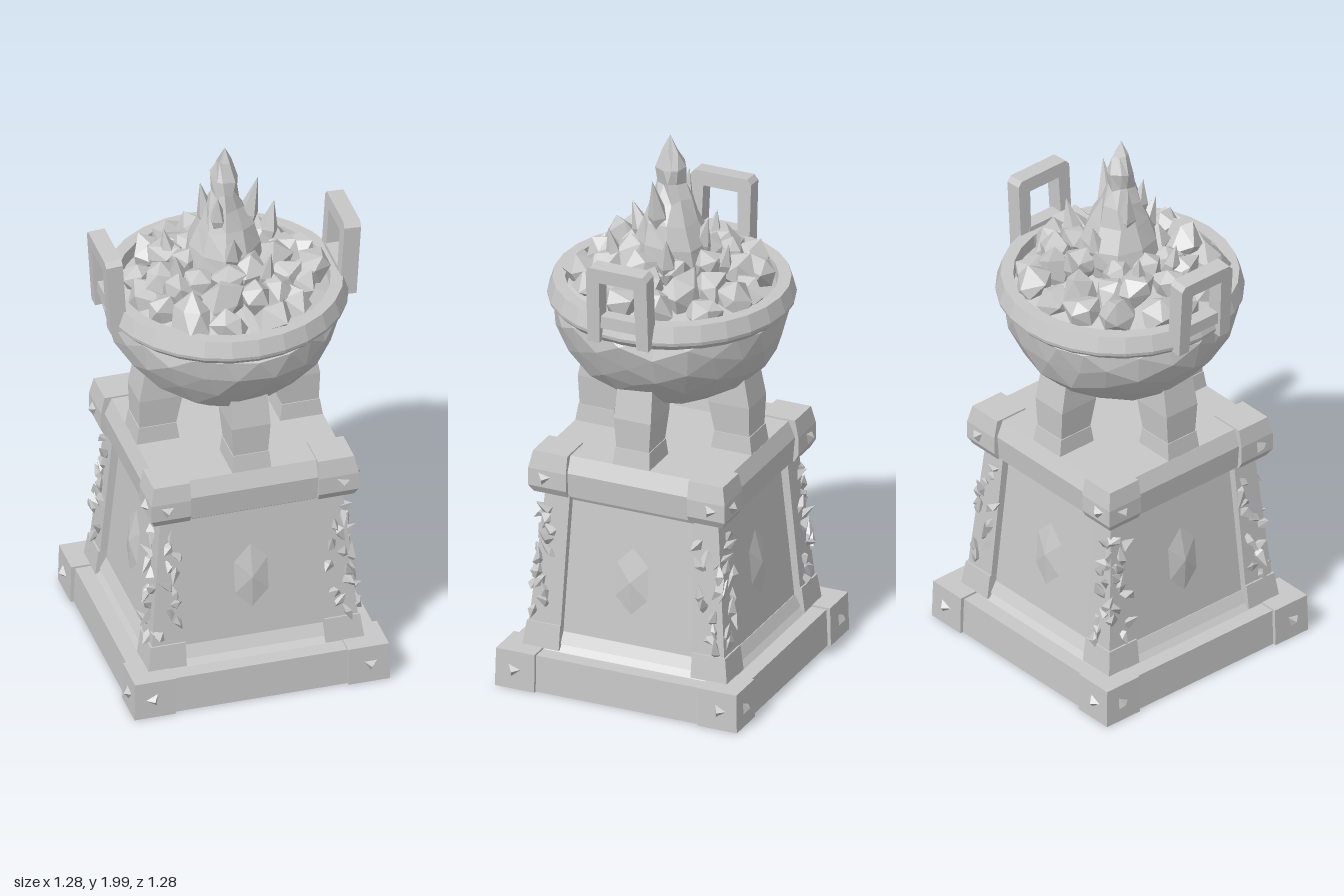
import * as THREE from 'three';
import { mergeVertices } from 'three/addons/utils/BufferGeometryUtils.js';

export function createModel() {
  const stone = new THREE.MeshStandardMaterial({ color: 0xc8c8c8, flatShading: true });
  stone.name = 'greyStone';

  let seed = 11;
  const rnd = () => (seed = (seed * 16807) % 2147483647) / 2147483647;
  const spread = (a) => (rnd() * 2 - 1) * a;

  const model = new THREE.Group();
  model.name = 'brazier';
  // Everything square is built axis-aligned, then turned as one
  const turned = new THREE.Group();
  turned.name = 'pedestalAndBowl';
  turned.rotation.y = -0.625;
  model.add(turned);

  const add = (parent, name, geo) => {
    const mesh = new THREE.Mesh(geo, stone);
    mesh.name = name;
    parent.add(mesh);
    return mesh;
  };

  // Box whose bottom and top rectangles are [x0, x1, z0, z1]
  function block(bottom, top, y0, y1) {
    const g = new THREE.BoxGeometry(1, 1, 1).toNonIndexed();
    const p = g.attributes.position;
    for (let i = 0; i < p.count; i++) {
      const up = p.getY(i) > 0, r = up ? top : bottom;
      p.setXYZ(i, r[p.getX(i) > 0 ? 1 : 0], up ? y1 : y0, r[p.getZ(i) > 0 ? 3 : 2]);
    }
    g.computeVertexNormals();
    return g;
  }
  const sq = (s) => [-s, s, -s, s];
  const slab = (s0, s1, y0, y1) => block(sq(s0), sq(s1), y0, y1);
  const corner = (in0, out0, in1, out1, y0, y1) =>
    block([in0, out0, in0, out0], [in1, out1, in1, out1], y0, y1);

  // Shift shared vertices a little so facets look hewn
  function roughen(geo, amount) {
    geo.deleteAttribute('normal');
    geo.deleteAttribute('uv');
    const g = mergeVertices(geo, 1e-4), p = g.attributes.position;
    for (let i = 0; i < p.count; i++) {
      p.setXYZ(i, p.getX(i) + spread(amount), p.getY(i) + spread(amount), p.getZ(i) + spread(amount));
    }
    const out = g.toNonIndexed();
    out.computeVertexNormals();
    return out;
  }

  // Pedestal core
  add(turned, 'plinth', slab(0.447, 0.442, 0, 0.135));
  add(turned, 'lowerSill', slab(0.385, 0.362, 0.135, 0.16));
  add(turned, 'lowerMoulding', slab(0.372, 0.35, 0.16, 0.2));
  add(turned, 'body', slab(0.353, 0.298, 0.14, 0.73));
  add(turned, 'upperMoulding', slab(0.303, 0.325, 0.685, 0.73));
  add(turned, 'capBand', slab(0.352, 0.36, 0.72, 0.81));
  add(turned, 'capTop', slab(0.36, 0.335, 0.81, 0.868));

  // Three-sided stud pointing along +z
  const stud = () => new THREE.ConeGeometry(0.036, 0.028, 3).rotateX(Math.PI / 2).rotateZ(spread(0.5));

  for (let k = 0; k < 4; k++) {
    const side = new THREE.Group();
    side.name = 'pedestalSide';
    side.rotation.y = k * Math.PI / 2;
    turned.add(side);

    // Corner stones and post
    add(side, 'plinthCorner', corner(0.31, 0.459, 0.31, 0.456, 0, 0.142));
    add(side, 'capCornerLower', corner(0.23, 0.358, 0.23, 0.373, 0.718, 0.745));
    add(side, 'capCorner', corner(0.23, 0.373, 0.23, 0.373, 0.745, 0.81));
    add(side, 'capCornerUpper', corner(0.23, 0.373, 0.23, 0.36, 0.81, 0.874));
    add(side, 'postFoot', corner(0.25, 0.388, 0.25, 0.376, 0.14, 0.23));
    add(side, 'post', corner(0.25, 0.37, 0.235, 0.328, 0.23, 0.72));

    // Studs on both ends of the face
    for (const s of [-1, 1]) {
      add(side, 'plinthStud', stud()).position.set(s * 0.39, 0.07, 0.464);
      add(side, 'capStud', stud()).position.set(s * 0.315, 0.78, 0.38);
    }

    // Shallow crystal relief in the panel
    const relief = new THREE.ConeGeometry(1, 1, 6).rotateX(Math.PI / 2);
    relief.scale(0.085, 0.15, 0.022);
    const gem = add(side, 'panelRelief', relief);
    gem.position.set(0, 0.43, 0.333);
    gem.rotation.x = -0.093;

    // Jagged carved shards climbing the post on both faces
    for (let i = 0; i < 22; i++) {
      const y = 0.25 + 0.4 * (i / 21), out = 0.37 - 0.086 * (y - 0.23);
      const g = roughen(new THREE.OctahedronGeometry(1, 0), 0.35);
      g.scale(0.02, 0.042, 0.02);
      const shard = add(side, 'postShard', g);
      const along = out - 0.005 - rnd() * 0.085;
      if (i % 2) shard.position.set(out + 0.002, y, along);
      else shard.position.set(along, y, out + 0.002);
      shard.rotation.set(spread(0.8), spread(1), spread(0.8));
    }

    // Bowl leg: flared foot, shank and thigh
    add(side, 'legFoot', block([-0.07, 0.07, 0.18, 0.335], [-0.065, 0.065, 0.19, 0.325], 0.865, 0.93));
    add(side, 'legShank', block([-0.062, 0.062, 0.19, 0.322], [-0.07, 0.07, 0.17, 0.325], 0.93, 1.04));
    add(side, 'legThigh', block([-0.07, 0.07, 0.17, 0.325], [-0.065, 0.065, 0.15, 0.3], 1.04, 1.17));
  }

  // Faceted bowl: lower half of a rough sphere with a clamped top
  const bowl = roughen(new THREE.IcosahedronGeometry(1, 3), 0.022);
  const bp = bowl.attributes.position;
  for (let i = 0; i < bp.count; i++) {
    const y = Math.min(bp.getY(i), 0.08);
    const r = Math.hypot(bp.getX(i), bp.getZ(i));
    const k = bp.getY(i) > 0.08 ? Math.min(1, r) * 0.4 : 0.408;
    bp.setXYZ(i, bp.getX(i) * k, 1.365 + y * 0.345, bp.getZ(i) * k);
  }
  bowl.computeVertexNormals();
  add(turned, 'bowl', bowl);

  const rim = [[0.36, 1.37], [0.405, 1.365], [0.428, 1.388], [0.43, 1.4], [0.412, 1.457], [0.368, 1.457], [0.36, 1.37]];
  add(turned, 'bowlRim', new THREE.LatheGeometry(rim.map(([x, y]) => new THREE.Vector2(x, y)), 28));
  add(turned, 'emberBed', new THREE.ConeGeometry(0.37, 0.12, 16)).position.y = 1.47;

  // Square loop handles on opposite sides
  const loop = new THREE.Shape();
  loop.moveTo(-0.115, 0).lineTo(-0.115, 0.27).lineTo(-0.1, 0.288).lineTo(0.1, 0.288).lineTo(0.115, 0.27);
  loop.lineTo(0.115, 0).lineTo(0.07, 0).lineTo(0.065, 0.235).lineTo(-0.065, 0.235).lineTo(-0.07, 0);
  for (const turn of [0, Math.PI]) {
    const holder = new THREE.Group();
    holder.name = 'handle';
    holder.rotation.y = turn;
    turned.add(holder);
    const g = new THREE.ExtrudeGeometry(loop, { depth: 0.06, bevelEnabled: false });
    const bar = add(holder, 'handleLoop', g);
    bar.position.set(0, 1.38, 0.382);
    bar.rotation.x = 0.06;
    // Inner lower crossbar
    add(holder, 'handleCrossbar', block([-0.075, 0.075, 0.385, 0.435], [-0.075, 0.075, 0.385, 0.435], 1.43, 1.475));
  }

  // Rings of coals heaped towards the middle: count, radius, height, size
  const rings = [[15, 0.295, 1.462, 0.068], [12, 0.225, 1.505, 0.075], [8, 0.145, 1.53, 0.07]];
  for (const [count, radius, y, size] of rings) {
    for (let i = 0; i < count; i++) {
      const a = (i + spread(0.25)) / count * Math.PI * 2, r = radius + spread(0.02);
      const coal = add(model, 'coal', roughen(new THREE.IcosahedronGeometry(1, 0), 0.22));
      coal.position.set(Math.cos(a) * r, y + spread(0.018), Math.sin(a) * r);
      const s = size * (0.85 + rnd() * 0.3);
      coal.scale.set(s, s * 0.95, s);
      coal.rotation.set(rnd() * 6, rnd() * 6, rnd() * 6);
    }
  }

  // Main flame
  const flame = [[0.11, 1.47], [0.14, 1.54], [0.13, 1.61], [0.1, 1.69], [0.068, 1.76], [0.045, 1.82], [0.052, 1.88], [0.026, 1.94], [0, 2]];
  const flameGeo = new THREE.LatheGeometry(flame.map(([x, y]) => new THREE.Vector2(x, y)), 9);
  add(model, 'flame', roughen(flameGeo, 0.009)).position.y = -0.002;

  // Flame tongues: base x, y, z, tip x, y, z, radius
  const tongues = [
    [0.05, 1.66, -0.05, 0.085, 1.86, -0.08, 0.036], [-0.045, 1.66, 0.03, -0.07, 1.84, 0.045, 0.034],
    [0.08, 1.58, 0.06, 0.12, 1.71, 0.1, 0.036], [-0.08, 1.56, -0.05, -0.115, 1.7, -0.07, 0.036],
    [0.02, 1.7, 0.06, 0.03, 1.83, 0.075, 0.03], [0.05, 1.54, -0.17, 0.06, 1.69, -0.205, 0.035],
    [0.19, 1.51, 0.02, 0.22, 1.65, 0.02, 0.03], [-0.16, 1.52, 0.1, -0.18, 1.64, 0.11, 0.03],
    [-0.05, 1.52, 0.19, -0.05, 1.63, 0.21, 0.03], [-0.15, 1.52, -0.13, -0.17, 1.63, -0.15, 0.03],
  ];
  for (const [x, y, z, tx, ty, tz, radius] of tongues) {
    const base = new THREE.Vector3(x, y, z), dir = new THREE.Vector3(tx, ty, tz).sub(base);
    const len = dir.length();
    const pts = [[0, 0], [0.8, 0.02], [1, 0.3], [0.5, 0.65], [0, 1]].map(([r, h]) => new THREE.Vector2(r * radius, h * len));
    const tongue = add(model, 'flameTongue', new THREE.LatheGeometry(pts, 5));
    tongue.position.copy(base);
    tongue.quaternion.setFromUnitVectors(new THREE.Vector3(0, 1, 0), dir.normalize());
  }

  return model;
}
